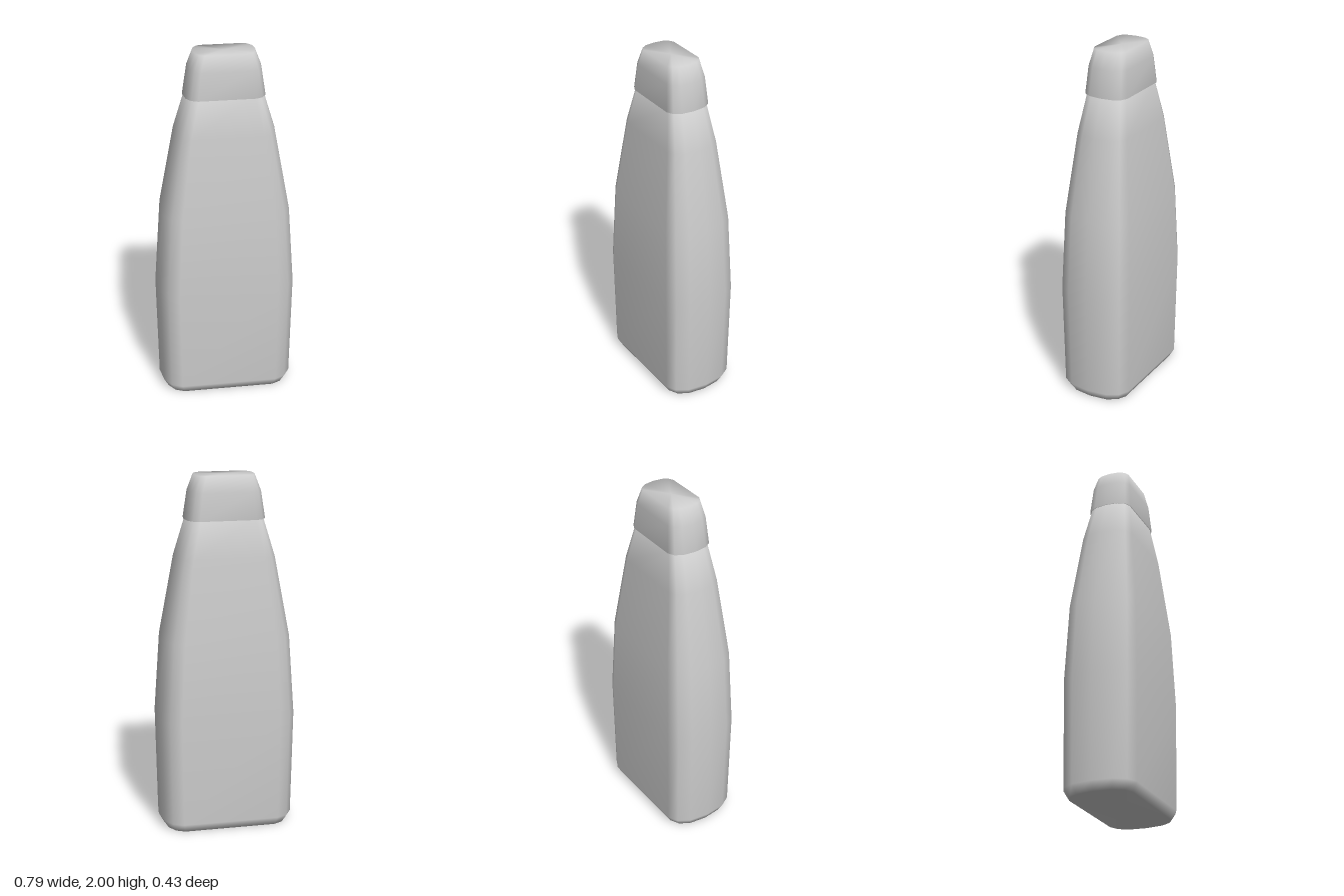
import * as THREE from 'three';

// One quadrant of the rounded-rectangle section: [inset from the side, depth], as fractions of half depth
const QUADRANT = [[0, 0], [0.07, 0.55], [0.256, 0.86], [0.535, 1]];

// Full section loop, running from +x towards +z
function section(halfWidth, halfDepth) {
  const q = QUADRANT.map(([inset, depth]) => [halfWidth - inset * halfDepth, depth * halfDepth]);
  const half = [...q, ...q.slice(1).reverse().map(([x, z]) => [-x, z])];
  return [...half, ...half.map(([x, z]) => [-x, -z])];
}

// Smooth loft through rings of [y, halfWidth, halfDepth], closed at both ends
function loft(rings) {
  const positions = [], index = [];
  let n = 0;
  for (const [y, w, d] of rings) {
    const loop = section(w, d);
    n = loop.length;
    for (const [x, z] of loop) positions.push(x, y, z);
  }
  const last = rings.length - 1;
  const bottom = rings.length * n, top = bottom + 1;
  positions.push(0, rings[0][0], 0, 0, rings[last][0], 0);
  for (let i = 0; i < n; i++) {
    const j = (i + 1) % n;
    for (let r = 0; r < last; r++) {
      const a = r * n + i, b = r * n + j;
      index.push(a, a + n, b, b, a + n, b + n);
    }
    index.push(bottom, i, j, top, last * n + j, last * n + i);
  }
  const geometry = new THREE.BufferGeometry();
  geometry.setAttribute('position', new THREE.Float32BufferAttribute(positions, 3));
  geometry.setIndex(index);
  geometry.computeVertexNormals();
  return geometry;
}

export function createModel() {
  const group = new THREE.Group();
  group.name = 'bottle';
  const material = new THREE.MeshStandardMaterial({ color: 0xcccccc });
  const add = (name, rings) => {
    const mesh = new THREE.Mesh(loft(rings), material);
    mesh.name = name;
    group.add(mesh);
  };

  // Tapered body with a chamfered foot; its neck ends inside the cap
  add('body', [
    [0, 0.355, 0.18],
    [0.05, 0.383, 0.208],
    [0.65, 0.395, 0.215],
    [1.1, 0.364, 0.2],
    [1.55, 0.28, 0.152],
    [1.77, 0.213, 0.118],
  ]);

  // Cap with a small overhanging lip and a flat top
  add('cap', [
    [1.765, 0.205, 0.112],
    [1.76, 0.225, 0.128],
    [1.91, 0.202, 0.116],
    [2, 0.168, 0.097],
  ]);

  return group;
}
